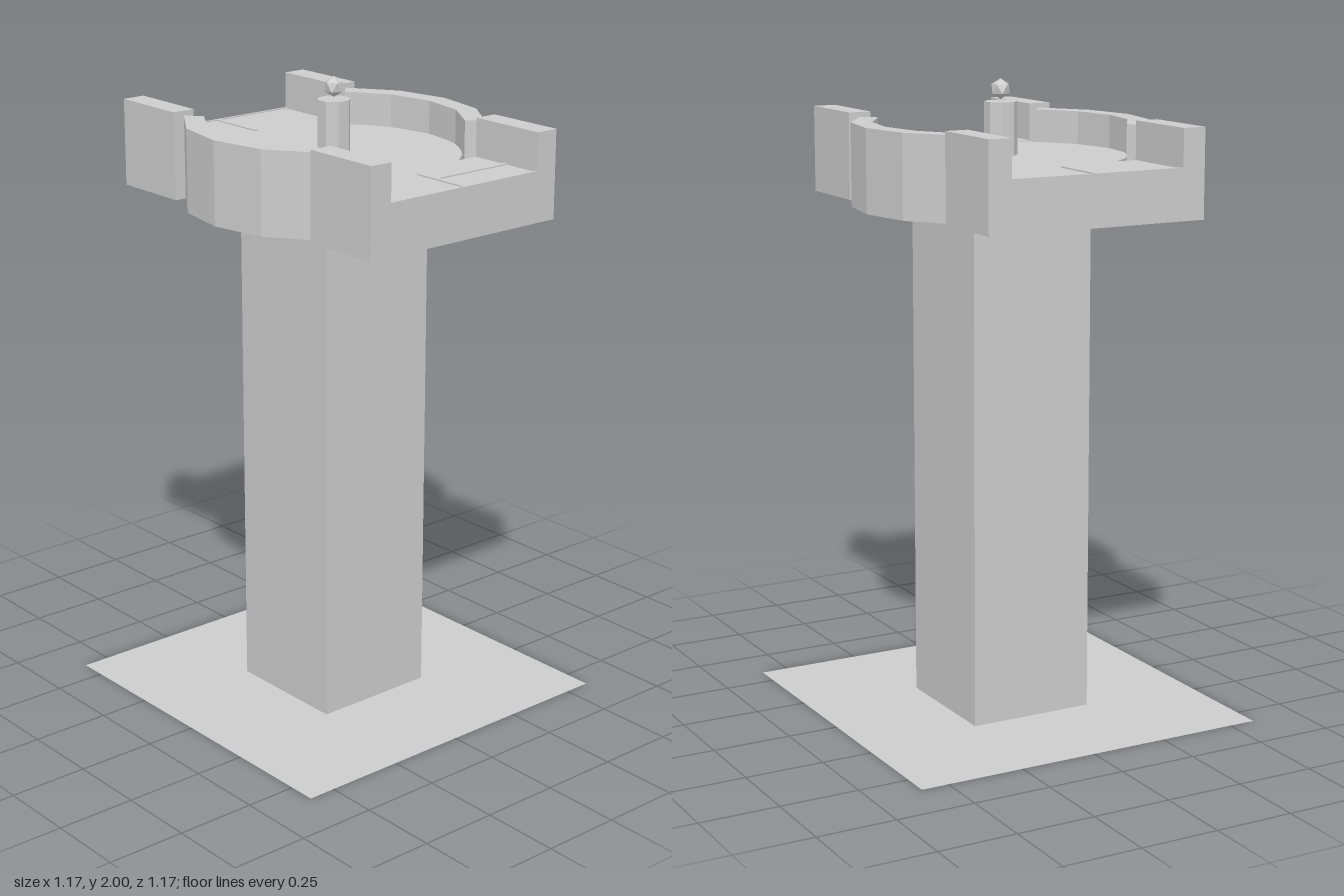
import * as THREE from 'three';

export function createModel() {
  const model = new THREE.Group();
  const stone = new THREE.MeshStandardMaterial({ color: 0xcccccc, flatShading: true });
  const ground = new THREE.MeshStandardMaterial({ color: 0xcccccc, flatShading: true, side: THREE.DoubleSide });
  stone.name = 'grey stone';
  ground.name = 'grey ground';

  const add = (name, geometry, x = 0, y = 0, z = 0, material = stone) => {
    const mesh = new THREE.Mesh(geometry, material);
    mesh.name = name;
    mesh.position.set(x, y, z);
    model.add(mesh);
    return mesh;
  };
  // Box given by its min and max corners
  const box = (name, x0, x1, y0, y1, z0, z1) =>
    add(name, new THREE.BoxGeometry(x1 - x0, y1 - y0, z1 - z0), (x0 + x1) / 2, (y0 + y1) / 2, (z0 + z1) / 2);
  // Plan outline [x, z] raised from y0 to y1
  const slab = (name, points, y0, y1) => {
    const shape = new THREE.Shape(points.map(([x, z]) => new THREE.Vector2(x, -z)));
    const geometry = new THREE.ExtrudeGeometry(shape, { depth: y1 - y0, bevelEnabled: false });
    geometry.rotateX(-Math.PI / 2);
    return add(name, geometry, 0, y0, 0);
  };

  const under = 1.61, floor = 1.765, edge = 0.325, end = 0.587, side = 0.363;

  // Ground sheet and square pillar
  const sheet = new THREE.PlaneGeometry(1.174, 1.174);
  sheet.rotateX(-Math.PI / 2);
  add('groundSheet', sheet, 0, 0, 0, ground);
  box('pillar', -0.204, 0.204, 0, under, -0.204, 0.204);

  // Deck: two rectangular ends joined by a round middle
  const radius = 0.392, start = Math.acos(edge / radius), steps = 10;
  const arc = [];
  for (let i = 0; i <= steps; i++) {
    const a = start + (Math.PI - 2 * start) * i / steps;
    arc.push([radius * Math.cos(a), radius * Math.sin(a)]);
  }
  const half = [[end, side], [edge, side], ...arc, [-edge, side], [-end, side]];
  slab('deck', [...half, ...half.map(([x, z]) => [-x, -z])], under, floor);

  for (const s of [-1, 1]) {
    // Faceted balcony wall
    const outer = [[-edge, 0.325], [-0.178, 0.427], [0, 0.461], [0.178, 0.427], [edge, 0.325]];
    const inner = [[0.28, 0.283], [0.15, 0.367], [0, 0.394], [-0.15, 0.367], [-0.28, 0.283]];
    slab('balconyWall', [...outer, ...inner].map(([x, z]) => [x * s, z * s]), under, 1.87);

    // Straight parapets at the corners
    for (const t of [-1, 1]) {
      const xs = [edge * t, end * t].sort((a, b) => a - b);
      const zs = [0.288 * s, side * s].sort((a, b) => a - b);
      box('parapet', xs[0], xs[1], floor, 1.885, zs[0], zs[1]);
    }

    // Thin floor strips at the ends
    const top = floor + 0.004;
    const lip = [0.58 * s, end * s].sort((a, b) => a - b);
    box('endStrip', lip[0], lip[1], floor, top, -0.288, 0.288);
    const mid = [0.385 * s, 0.58 * s].sort((a, b) => a - b);
    box('middleStrip', mid[0], mid[1], floor, top, -0.01, 0.005);
  }
  box('crossStrip', 0.446, 0.462, floor, floor + 0.004, -0.288, -0.01);

  // Octagonal post with a ball on top
  const post = new THREE.CylinderGeometry(0.052, 0.052, 1.93 - floor, 8);
  post.rotateY(Math.PI / 8);
  add('post', post, 0, (1.93 + floor) / 2, 0);
  const ball = new THREE.IcosahedronGeometry(0.032, 0);
  ball.rotateX(-Math.atan((1 + Math.sqrt(5)) / 2));
  add('ball', ball, 0, 1.968, 0);

  return model;
}
